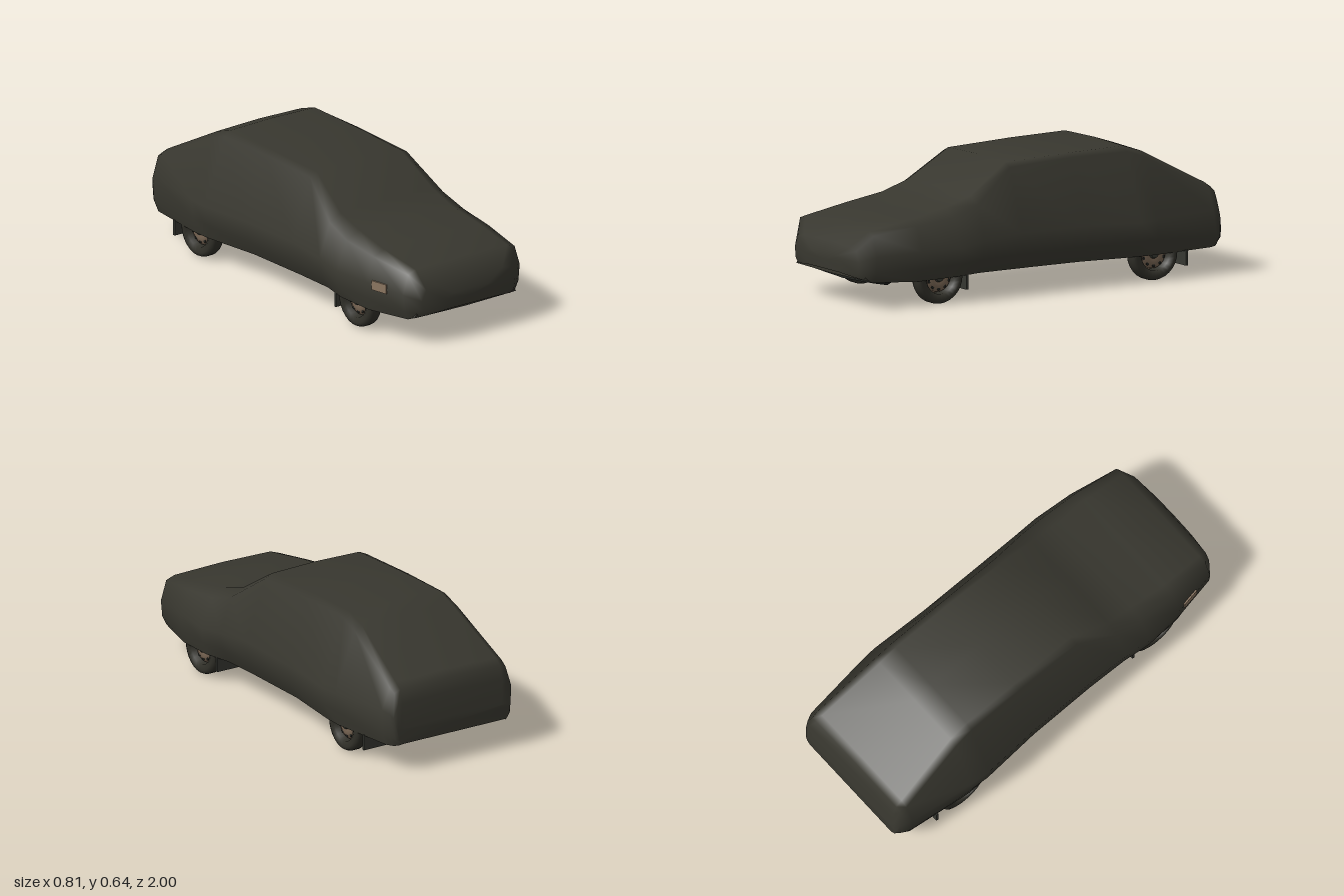
import * as THREE from 'three';

const mat = (name, color) => {
  const m = new THREE.MeshStandardMaterial({ color });
  m.name = name;
  return m;
};

export function createModel() {
  const car = new THREE.Group();
  car.name = 'coveredCar';
  const cloth = mat('cover cloth', 0x38372f);
  cloth.side = THREE.DoubleSide;
  const rubber = mat('tyre rubber', 0x302f28);
  const black = mat('underbody black', 0x20221f);
  const metal = mat('chassis grey', 0x363731);
  const rust = mat('exhaust rust', 0x5a3527);
  const tan = mat('body tan', 0x8a7560);
  const rimTan = mat('wheel tan', 0x786553);
  rimTan.side = THREE.DoubleSide;

  const add = (name, geo, m, x = 0, y = 0, z = 0, parent = car) => {
    const mesh = new THREE.Mesh(geo, m);
    mesh.name = name;
    mesh.position.set(x, y, z);
    parent.add(mesh);
    return mesh;
  };
  const box = (name, w, h, d, m, x, y, z) => add(name, new THREE.BoxGeometry(w, h, d), m, x, y, z);
  const tube = (name, pts, r, m) => add(name, new THREE.TubeGeometry(
    new THREE.CatmullRomCurve3(pts.map(p => new THREE.Vector3(...p)), false, 'catmullrom', 0.2), pts.length * 5, r, 8), m);

  // Cloth cover: z, top y, top half width, shoulder x/y, belt x/y, low y, hem y, hem tuck
  const sections = [
    [1.0, 0.235, 0.10, 0.13, 0.225, 0.15, 0.21, 0.175, 0.158, 0.02],
    [0.98, 0.29, 0.20, 0.25, 0.27, 0.275, 0.22, 0.165, 0.145, 0.03],
    [0.925, 0.367, 0.27, 0.315, 0.345, 0.345, 0.25, 0.17, 0.125, 0.03],
    [0.7, 0.405, 0.28, 0.34, 0.375, 0.385, 0.26, 0.18, 0.12, 0.015],
    [0.5, 0.44, 0.27, 0.345, 0.40, 0.402, 0.26, 0.185, 0.125, 0.025],
    [0.36, 0.485, 0.27, 0.335, 0.445, 0.395, 0.28, 0.195, 0.125, 0.05],
    [0.15, 0.62, 0.245, 0.285, 0.595, 0.39, 0.30, 0.20, 0.125, 0.05],
    [-0.2, 0.633, 0.25, 0.283, 0.61, 0.392, 0.30, 0.20, 0.125, 0.05],
    [-0.5, 0.638, 0.25, 0.284, 0.61, 0.406, 0.29, 0.20, 0.125, 0.03],
    [-0.6, 0.605, 0.25, 0.288, 0.575, 0.398, 0.29, 0.20, 0.125, 0.02],
    [-0.93, 0.43, 0.28, 0.315, 0.405, 0.357, 0.30, 0.18, 0.125, 0.02],
    [-0.965, 0.405, 0.28, 0.312, 0.385, 0.342, 0.29, 0.17, 0.125, 0.025],
    [-0.985, 0.34, 0.28, 0.306, 0.33, 0.33, 0.27, 0.165, 0.13, 0.03],
    [-1.0, 0.22, 0.27, 0.30, 0.215, 0.315, 0.20, 0.16, 0.14, 0.03],
  ];
  const pos = [], idx = [], n = 11;
  for (const [z, top, wt, ws, ys, wb, yb, yl, yh, tuck] of sections) {
    const half = [[wb - tuck, yh], [wb - tuck * 0.25, yl], [wb, yb], [ws, ys], [wt, top - 0.006]];
    const ring = [...half, [0, top], ...half.map(([x, y]) => [-x, y]).reverse()];
    ring.forEach(([x, y]) => pos.push(x, y, z));
  }
  for (let r = 0; r < sections.length - 1; r++) {
    for (let i = 0; i < n - 1; i++) {
      const a = r * n + i, c = a + n;
      idx.push(a, c, a + 1, a + 1, c, c + 1);
    }
  }
  // Front and back closing fans
  const front = pos.length / 3, back = front + 1, last = (sections.length - 1) * n;
  pos.push(0, 0.2, 1.0, 0, 0.19, -1.0);
  for (let i = 0; i < n; i++) {
    const j = (i + 1) % n;
    idx.push(front, i, j, back, last + j, last + i);
  }
  const coverGeo = new THREE.BufferGeometry();
  coverGeo.setAttribute('position', new THREE.Float32BufferAttribute(pos, 3));
  coverGeo.setIndex(idx);
  coverGeo.computeVertexNormals();
  add('clothCover', coverGeo, cloth);
  // Bare wing showing through the cloth
  const patch = box('exposedWing', 0.008, 0.045, 0.09, tan, -0.371, 0.255, 0.78);
  patch.rotation.y = 0.175;

  // Floor pans and arch liner
  box('archLiner', 0.62, 0.01, 1.8, black, 0, 0.24, -0.03);
  box('centreFloor', 0.6, 0.03, 0.86, black, 0, 0.14, -0.01);
  box('rearFloor', 0.54, 0.05, 0.52, black, 0, 0.185, -0.68);
  box('tailPanel', 0.58, 0.03, 0.1, black, 0, 0.175, -0.91);
  box('engineBay', 0.48, 0.05, 0.42, black, 0, 0.165, 0.62);
  box('rustyFloorPatch', 0.1, 0.006, 0.14, rust, -0.25, 0.124, 0.12);
  box('rustyRearPatch', 0.12, 0.006, 0.12, rust, 0.02, 0.124, -0.36);
  for (const s of [1, -1]) {
    box('sill', 0.045, 0.02, 0.86, tan, s * 0.322, 0.15, -0.01);
    box('floorRail', 0.04, 0.03, 0.4, metal, s * 0.2, 0.115, 0.22);
    box('rearRail', 0.04, 0.02, 0.42, metal, s * 0.2, 0.125, -0.19);
    box('frontRail', 0.035, 0.04, 0.45, metal, s * 0.19, 0.13, 0.62);
    box('trailingArm', 0.03, 0.025, 0.25, metal, s * 0.22, 0.13, -0.5);
    box('frontMudflap', 0.125, 0.075, 0.012, metal, s * 0.3, 0.093, 0.435);
    box('rearMudflap', 0.125, 0.075, 0.012, metal, s * 0.3, 0.093, -0.78);
    tube('lowerArm', [[s * 0.13, 0.115, 0.5], [s * 0.29, 0.12, 0.58]], 0.013, metal);
    tube('frontArmBrace', [[s * 0.15, 0.125, 0.72], [s * 0.29, 0.12, 0.58]], 0.012, metal);
  }

  // Front valance under the nose, with the cloth tucked around its top edge
  const lip = new THREE.Shape([[-0.32, 0.14], [-0.24, 0.095], [0, 0.085], [0.24, 0.095], [0.32, 0.14]]
    .map(p => new THREE.Vector2(...p)));
  const valance = add('frontValance', new THREE.ExtrudeGeometry(lip, { depth: 0.09, bevelEnabled: false }), black, 0, 0, 0.82);
  valance.rotation.x = -0.2;
  const fold = new THREE.Shape([[-0.3, 0.135], [0, 0.13], [0.3, 0.135], [0.28, 0.165], [-0.28, 0.165]]
    .map(p => new THREE.Vector2(...p)));
  add('tuckedCloth', new THREE.ExtrudeGeometry(fold, { depth: 0.03, bevelEnabled: false }), cloth, 0, 0, 0.925);

  // Drivetrain
  const sump = add('engineSump', new THREE.CylinderGeometry(0.09, 0.06, 0.06, 10), metal, 0, 0.13, 0.66);
  sump.scale.z = 1.3;
  box('gearbox', 0.11, 0.05, 0.22, metal, 0.03, 0.125, 0.42);
  tube('rearAxle', [[-0.3, 0.125, -0.61], [0.3, 0.125, -0.61]], 0.018, metal);
  box('rearCrossMember', 0.5, 0.03, 0.05, metal, 0, 0.145, -0.42);
  tube('antiRollBar', [[-0.24, 0.13, -0.5], [-0.2, 0.13, -0.7], [0.2, 0.13, -0.7], [0.24, 0.13, -0.5]], 0.009, metal);

  // Exhaust
  tube('exhaustPipe', [[-0.08, 0.12, 0.62], [-0.05, 0.114, 0.3], [-0.04, 0.114, -0.1], [0.06, 0.112, -0.3],
    [0.12, 0.113, -0.46], [0.16, 0.15, -0.6], [0.17, 0.155, -0.75], [0.17, 0.155, -0.97]], 0.012, rust);
  const muffler = (name, r, len, x, y, z) => {
    const m = add(name, new THREE.CylinderGeometry(r, r, len, 12), rust, x, y, z);
    m.rotation.x = Math.PI / 2;
    m.scale.x = 1.5;
  };
  muffler('middleMuffler', 0.022, 0.26, -0.04, 0.122, 0.1);
  muffler('rearMuffler', 0.03, 0.26, 0.17, 0.157, -0.84);

  // Wheels: tyre profile and dished rim turned about the axle
  const lathe = pts => new THREE.LatheGeometry(pts.map(p => new THREE.Vector2(...p)), 28);
  const tyreGeo = lathe([[0.078, -0.03], [0.105, -0.036], [0.12, -0.03], [0.125, -0.018], [0.125, 0.018],
    [0.12, 0.03], [0.105, 0.036], [0.078, 0.03], [0.078, -0.03]]);
  const rimGeo = lathe([[0.079, -0.028], [0.072, -0.02], [0.07, 0.005], [0.045, 0.016], [0.03, 0.012], [0.0, 0.012]]);
  const holeGeo = new THREE.CylinderGeometry(0.008, 0.008, 0.004, 8);
  for (const s of [1, -1]) {
    for (const z of [0.58, -0.61]) {
      const wheel = new THREE.Group();
      wheel.name = z > 0 ? 'frontWheel' : 'rearWheel';
      wheel.position.set(s * 0.328, 0.125, z);
      wheel.rotation.z = -s * Math.PI / 2;
      add('tyre', tyreGeo, rubber, 0, 0, 0, wheel);
      add('rim', rimGeo, rimTan, 0, 0, 0, wheel);
      add('hubCap', new THREE.CylinderGeometry(0.02, 0.024, 0.014, 14), metal, 0, 0.018, 0, wheel);
      add('brakeDrum', new THREE.CylinderGeometry(0.055, 0.055, 0.03, 18), metal, 0, -0.018, 0, wheel);
      for (let i = 0; i < 10; i++) {
        const a = i * Math.PI / 5;
        add('rimHole', holeGeo, black, Math.cos(a) * 0.056, 0.011, Math.sin(a) * 0.056, wheel);
      }
      car.add(wheel);
    }
  }
  return car;
}
